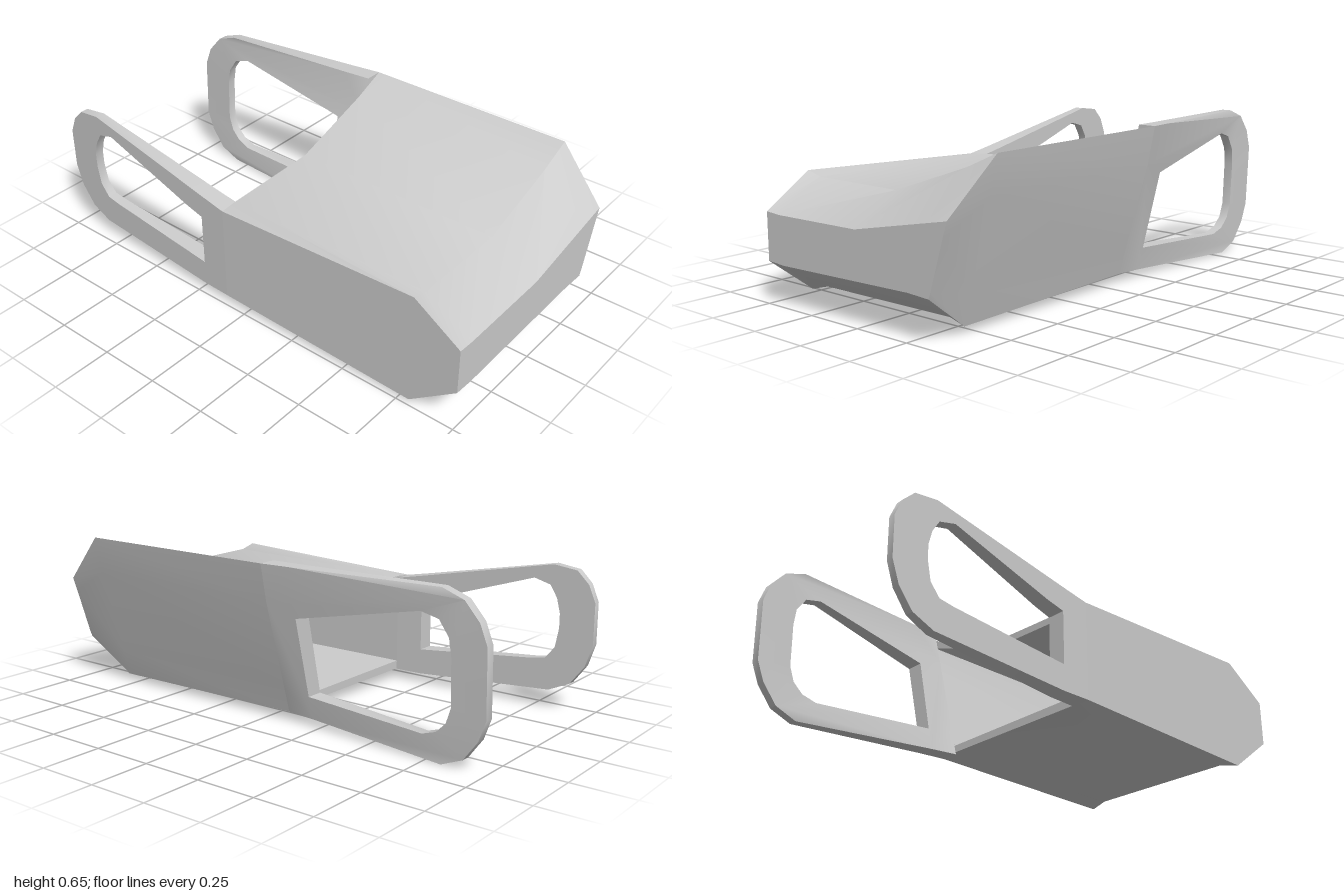
import * as THREE from 'three';
import { toCreasedNormals } from 'three/addons/utils/BufferGeometryUtils.js';

const material = new THREE.MeshStandardMaterial({ color: 0xcccccc, side: THREE.DoubleSide });
const { lerp, clamp } = THREE.MathUtils;

function addMesh(group, name, geometry, crease) {
  const mesh = new THREE.Mesh(toCreasedNormals(geometry, crease), material);
  mesh.name = name;
  group.add(mesh);
}

// Skin a run of rings {x, ring: [[z, y], ...]} and close both ends with fans
function loft(sections) {
  const positions = [], index = [];
  const n = sections[0].ring.length;
  for (const { x, ring } of sections) for (const [z, y] of ring) positions.push(x, y, z);
  for (let s = 0; s < sections.length - 1; s++) {
    for (let i = 0; i < n; i++) {
      const a = s * n + i, b = s * n + (i + 1) % n;
      index.push(a, b, b + n, a, b + n, a + n);
    }
  }
  for (const s of [0, sections.length - 1]) {
    const { x, ring } = sections[s];
    const mean = k => ring.reduce((sum, p) => sum + p[k], 0) / n;
    const centre = positions.length / 3;
    positions.push(x, mean(1), mean(0));
    for (let i = 0; i < n; i++) {
      const a = s * n + i, b = s * n + (i + 1) % n;
      if (s === 0) index.push(centre, b, a);
      else index.push(centre, a, b);
    }
  }
  const geometry = new THREE.BufferGeometry();
  geometry.setAttribute('position', new THREE.Float32BufferAttribute(positions, 3));
  geometry.setIndex(index);
  return geometry;
}

// Plate with a window, its two faces placed by zBack(x, y) and zFront(x, y)
function handlePlate(outline, hole, zBack, zFront) {
  const toPoints = list => list.map(([x, y]) => new THREE.Vector2(x, y));
  const shape = new THREE.Shape(toPoints(outline));
  shape.holes.push(new THREE.Path(toPoints(hole)));
  const geometry = new THREE.ExtrudeGeometry(shape, { depth: 1, bevelEnabled: false });
  const p = geometry.attributes.position;
  for (let i = 0; i < p.count; i++) {
    const x = p.getX(i), y = p.getY(i);
    p.setZ(i, lerp(zBack(x, y), zFront(x, y), p.getZ(i)));
  }
  return geometry;
}

export function createModel() {
  const model = new THREE.Group();
  model.name = 'model';

  // Hollow body: tapered closed end, outer skin, open rim, inner cavity
  const endRing = [[0.49, 0.17], [0.49, 0.36], [0.42, 0.355], [0, 0.36], [-0.35, 0.43], [-0.45, 0.45],
    [-0.43, 0.39], [-0.37, 0.2], [-0.36, 0.175], [-0.26, 0.18], [0.4, 0.165]];
  const shoulderRing = [[0.49, 0.02], [0.49, 0.49], [0.42, 0.472], [0, 0.47], [-0.35, 0.59], [-0.49, 0.652],
    [-0.46, 0.5], [-0.36, 0.15], [-0.33, 0.03], [-0.26, 0.05], [0.4, 0.045]];
  const rimRing = [[0.49, 0.043], [0.49, 0.45], [0.42, 0.457], [0, 0.47], [-0.35, 0.59], [-0.49, 0.652],
    [-0.46, 0.5], [-0.36, 0.15], [-0.33, 0.04], [-0.26, 0.05], [0.4, 0.045]];
  const cavityRing = [[0.41, 0.08], [0.41, 0.42], [0.38, 0.43], [0, 0.44], [-0.33, 0.55], [-0.41, 0.58],
    [-0.38, 0.45], [-0.285, 0.15], [-0.265, 0.08], [-0.24, 0.08], [0.38, 0.08]];
  addMesh(model, 'body', loft([
    { x: 1, ring: endRing },
    { x: 0.8, ring: shoulderRing },
    { x: -0.1, ring: rimRing },
    { x: -0.1, ring: cavityRing },
    { x: 0.78, ring: cavityRing },
  ]), 0.6);

  // 0 at the handle grip, 1 where it joins the body
  const along = x => clamp((x + 0.82) / 0.72, 0, 1);

  // Front handle: upright plate thinning towards the grip
  const frontOutline = [[-0.1, 0.043], [-0.1, 0.45], [-0.22, 0.473], [-0.82, 0.593], [-0.92, 0.58], [-0.97, 0.53],
    [-1, 0.46], [-1, 0.29], [-0.97, 0.2], [-0.91, 0.12], [-0.82, 0.08], [-0.22, 0.043]];
  const frontHole = [[-0.22, 0.15], [-0.22, 0.37], [-0.3, 0.39], [-0.74, 0.53], [-0.81, 0.51], [-0.84, 0.46],
    [-0.855, 0.4], [-0.855, 0.34], [-0.84, 0.26], [-0.8, 0.21], [-0.74, 0.2]];
  addMesh(model, 'frontHandle', handlePlate(frontOutline, frontHole,
    x => lerp(0.435, 0.41, (x + 1) / 0.9),
    x => lerp(0.465, 0.49, (x + 1) / 0.9)), 0.5);

  // Back handle: leaning at the body, twisting upright at the grip
  const backOutline = [[-0.1, 0.04], [-0.1, 0.15], [-0.1, 0.5], [-0.1, 0.652], [-0.22, 0.65], [-0.82, 0.643],
    [-0.91, 0.61], [-0.97, 0.54], [-1, 0.46], [-1, 0.2], [-0.97, 0.12], [-0.91, 0.04], [-0.82, 0.003], [-0.22, 0.035]];
  const backHole = [[-0.22, 0.13], [-0.22, 0.45], [-0.74, 0.55], [-0.81, 0.53], [-0.85, 0.47],
    [-0.86, 0.4], [-0.86, 0.22], [-0.84, 0.16], [-0.8, 0.12], [-0.74, 0.1]];
  const backOuter = (x, y) => {
    const lean = y > 0.5 ? lerp(-0.46, -0.49, (y - 0.5) / 0.152) : lerp(-0.33, -0.46, (y - 0.04) / 0.46);
    return lerp(lerp(-0.372, -0.392, y / 0.64), lean, along(x));
  };
  const backInner = (x, y) => lerp(lerp(-0.335, -0.352, y / 0.64), lerp(-0.255, -0.415, (y - 0.04) / 0.61), along(x));
  addMesh(model, 'backHandle', handlePlate(backOutline, backHole, backOuter, backInner), 0.5);

  return model;
}
